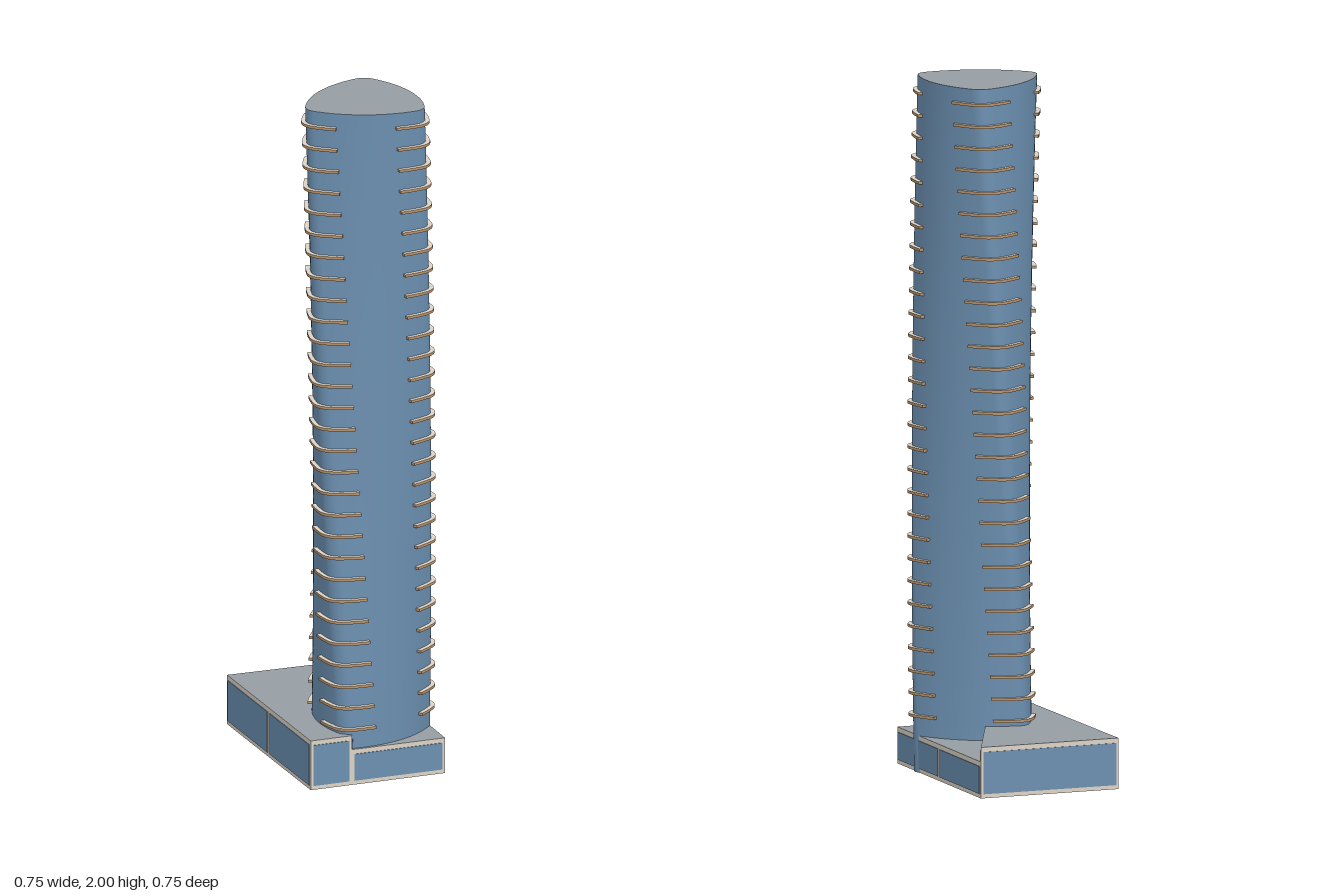
import * as THREE from 'three';

const mat = (name, color) => new THREE.MeshStandardMaterial({ name, color });
const DEG = Math.PI / 180;

// Rounded triangle made of tangent arcs, addressed by its normal angle
const CX = 0.13, CZ = 0.088, TOP = 2;
const CORNER_R = 0.045, CORNER_D = 0.145, SIDE_R = 0.327, SIDE_D = 0.18, CORNER_HALF = 33.6;

function sectionPoint(deg, twist, offset = 0) {
  const corner = Math.round(deg / 120) * 120;
  const local = deg - corner;
  let dir = corner, dist = CORNER_D, radius = CORNER_R;
  if (Math.abs(local) > CORNER_HALF) {
    dir = corner + 60 * Math.sign(local);
    dist = -SIDE_D;
    radius = SIDE_R;
  }
  const c = (dir + twist) * DEG, n = (deg + twist) * DEG, r = radius + offset;
  return [CX + dist * Math.cos(c) + r * Math.cos(n), CZ + dist * Math.sin(c) + r * Math.sin(n)];
}

const twistAt = (y) => -40 + 45 * (y / TOP);

// Horizontal outline from [x, z] points
const planShape = (pts) => new THREE.Shape(pts.map(([x, z]) => new THREE.Vector2(x, -z)));

function slab(name, pts, y, depth, materials) {
  const g = new THREE.ExtrudeGeometry(planShape(pts), { depth, bevelEnabled: false });
  g.rotateX(-Math.PI / 2);
  const mesh = new THREE.Mesh(g, materials);
  mesh.position.y = y;
  mesh.name = name;
  return mesh;
}

function ring(y, n = 120) {
  return Array.from({ length: n }, (_, i) => sectionPoint(i * 360 / n, twistAt(y)));
}

// Twisting glass skin lofted through stacked rings
function towerSkin() {
  const n = 120, rows = 60, pos = [], idx = [];
  for (let j = 0; j <= rows; j++) {
    const y = TOP * j / rows;
    for (const [x, z] of ring(y, n)) pos.push(x, y, z);
  }
  for (let j = 0; j < rows; j++) {
    for (let i = 0; i < n; i++) {
      const a = j * n + i, b = j * n + (i + 1) % n;
      idx.push(a, a + n, b, b, a + n, b + n);
    }
  }
  const g = new THREE.BufferGeometry();
  g.setAttribute('position', new THREE.Float32BufferAttribute(pos, 3));
  g.setIndex(idx);
  g.computeVertexNormals();
  return g;
}

export function createModel() {
  const model = new THREE.Group();
  model.name = 'twistedTower';
  const glass = mat('blueGlass', 0x6b8fb0);
  const trim = mat('beigeTrim', 0xddd3c6);
  const roof = mat('greyRoof', 0x959ca3);
  const edge = mat('tanEdge', 0xb8926a);

  // Tower shaft with its end caps
  const tower = new THREE.Group();
  tower.name = 'tower';
  const skin = new THREE.Mesh(towerSkin(), glass);
  skin.name = 'towerSkin';
  tower.add(skin);
  const cap = new THREE.Mesh(new THREE.ShapeGeometry(planShape(ring(TOP))), roof);
  cap.name = 'towerRoof';
  cap.rotation.x = -Math.PI / 2;
  cap.position.y = TOP;
  tower.add(cap);
  const base = new THREE.Mesh(new THREE.ShapeGeometry(planShape(ring(0).map(([x, z]) => [x, -z]))), trim);
  base.name = 'towerBase';
  base.rotation.x = Math.PI / 2;
  tower.add(base);
  model.add(tower);

  // Balcony ledges wrapping the three corners on every floor
  const balconies = new THREE.Group();
  balconies.name = 'balconies';
  for (let floor = 0; floor < 29; floor++) {
    const y = 0.16 + floor * 0.064;
    for (let k = 0; k < 3; k++) {
      const outer = [], inner = [];
      for (let a = -45; a <= 45; a += 6) {
        outer.push(sectionPoint(k * 120 + a, twistAt(y), 0.013));
        inner.unshift(sectionPoint(k * 120 + a, twistAt(y), -0.004));
      }
      balconies.add(slab('balcony', [...outer, ...inner], y, 0.008, [trim, edge]));
    }
  }
  model.add(balconies);

  // Podium split by a step into a high and a low half
  const podium = new THREE.Group();
  podium.name = 'podium';
  const W = [-0.375, -0.075], N = [-0.075, -0.375], E = [0.375, 0.073], S = [0.09, 0.373];
  const M = [0.177, 0.281];
  const HIGH = 0.148, LOW = 0.106, ROOF = 0.012;

  // Framed wall: beige slab with glass plates on its outer face
  function wall(name, p, q, height, panels, sill = 0.012) {
    const dx = q[0] - p[0], dz = q[1] - p[1], length = Math.hypot(dx, dz);
    const g = new THREE.Group();
    g.name = name;
    g.position.set((p[0] + q[0]) / 2, 0, (p[1] + q[1]) / 2);
    g.rotation.y = Math.atan2(-dz, dx);
    const h = height - ROOF;
    const frame = new THREE.Mesh(new THREE.BoxGeometry(length, h, 0.008), trim);
    frame.name = 'wallFrame';
    frame.position.set(0, h / 2, -0.004);
    g.add(frame);
    const pitch = length / panels, paneH = h - sill - 0.002;
    for (let i = 0; i < panels; i++) {
      const pane = new THREE.Mesh(new THREE.BoxGeometry(pitch - 0.016, paneH, 0.004), glass);
      pane.name = 'windowPane';
      pane.position.set((i + 0.5) * pitch - length / 2, sill + paneH / 2, 0);
      g.add(pane);
    }
    podium.add(g);
  }
  wall('frontLeftWall', W, S, HIGH, 2);
  wall('frontHighWall', S, M, HIGH, 1);
  wall('frontLowWall', M, E, LOW, 1);
  wall('backLowWall', E, N, LOW, 2);
  wall('backHighWall', N, W, HIGH, 1);
  wall('stepWall', M, N, HIGH, 1, 0.012);

  podium.add(slab('highRoof', [W, S, M, N], HIGH - ROOF, ROOF, [roof, trim]));
  podium.add(slab('lowRoof', [M, E, N], LOW - ROOF, ROOF, [roof, trim]));
  model.add(podium);

  return model;
}
